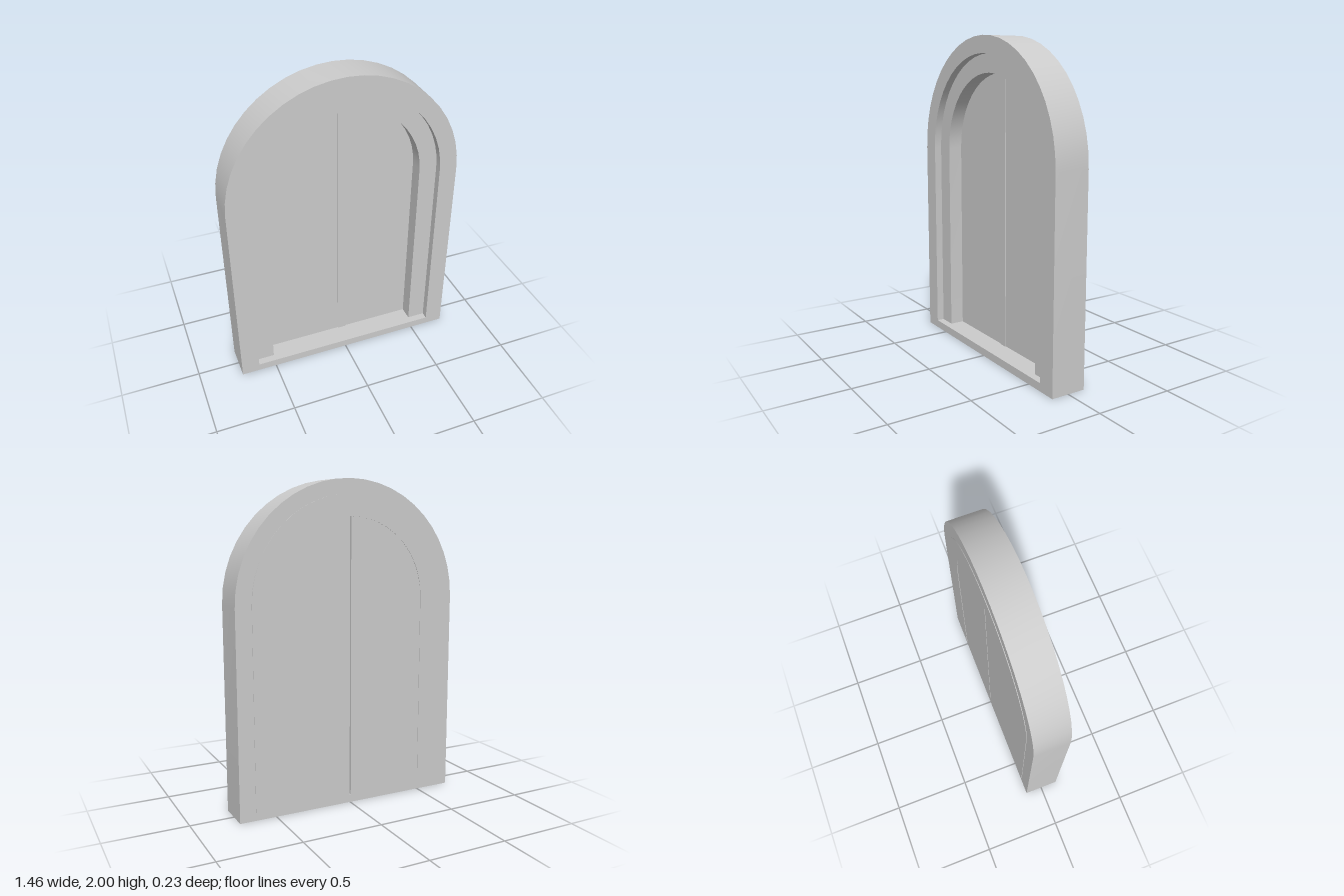
import * as THREE from 'three';
import { toCreasedNormals } from 'three/addons/utils/BufferGeometryUtils.js';

const SILL = 0.05, SPRING = 1.28, SEGMENTS = 24;

// Points of a round-headed arch outline, starting at the lower right corner
function archPoints(halfWidth, bottom, spring) {
  const points = [new THREE.Vector2(halfWidth, bottom)];
  for (let i = 0; i <= SEGMENTS; i++) {
    const a = (Math.PI * i) / SEGMENTS;
    points.push(new THREE.Vector2(halfWidth * Math.cos(a), spring + halfWidth * Math.sin(a)));
  }
  points.push(new THREE.Vector2(-halfWidth, bottom));
  return points;
}

export function createModel() {
  const group = new THREE.Group();
  const material = new THREE.MeshStandardMaterial({ color: 0xcccccc });

  // Extrude a shape between two z planes, smooth on the arch and sharp at corners
  function addSlab(name, shape, zBack, zFront) {
    const raw = new THREE.ExtrudeGeometry(shape, { depth: zFront - zBack, bevelEnabled: false });
    const mesh = new THREE.Mesh(toCreasedNormals(raw, Math.PI / 6), material);
    mesh.name = name;
    mesh.position.z = zBack;
    group.add(mesh);
  }

  // Outer surround with its sill
  const surround = new THREE.Shape(archPoints(0.73, 0, 1.27));
  surround.holes.push(new THREE.Path(archPoints(0.615, SILL, SPRING).reverse()));
  addSlab('outerFrame', surround, -0.112, 0.112);

  // Inner frame, set back from the front and open at the sill
  const inner = new THREE.Shape([
    ...archPoints(0.63, SILL, SPRING),
    ...archPoints(0.5, SILL, SPRING).reverse(),
  ]);
  addSlab('innerFrame', inner, -0.115, 0.065);

  // Pair of door leaves with a narrow seam between them
  const seam = 0.004, r = 0.502;
  for (const side of [1, -1]) {
    const points = [new THREE.Vector2(side * seam, SILL), new THREE.Vector2(side * r, SILL)];
    const end = Math.acos(seam / r);
    for (let i = 0; i <= SEGMENTS / 2; i++) {
      const a = (end * i) / (SEGMENTS / 2);
      points.push(new THREE.Vector2(side * r * Math.cos(a), SPRING + r * Math.sin(a)));
    }
    addSlab(side > 0 ? 'leftDoorLeaf' : 'rightDoorLeaf', new THREE.Shape(points), -0.112, -0.026);
  }

  // Thin cover strip over the seam
  const strip = new THREE.Mesh(new THREE.BoxGeometry(0.054, 1.725, 0.012), material);
  strip.name = 'coverStrip';
  strip.position.set(0.023, SILL + 0.8625, -0.026);
  group.add(strip);

  return group;
}
